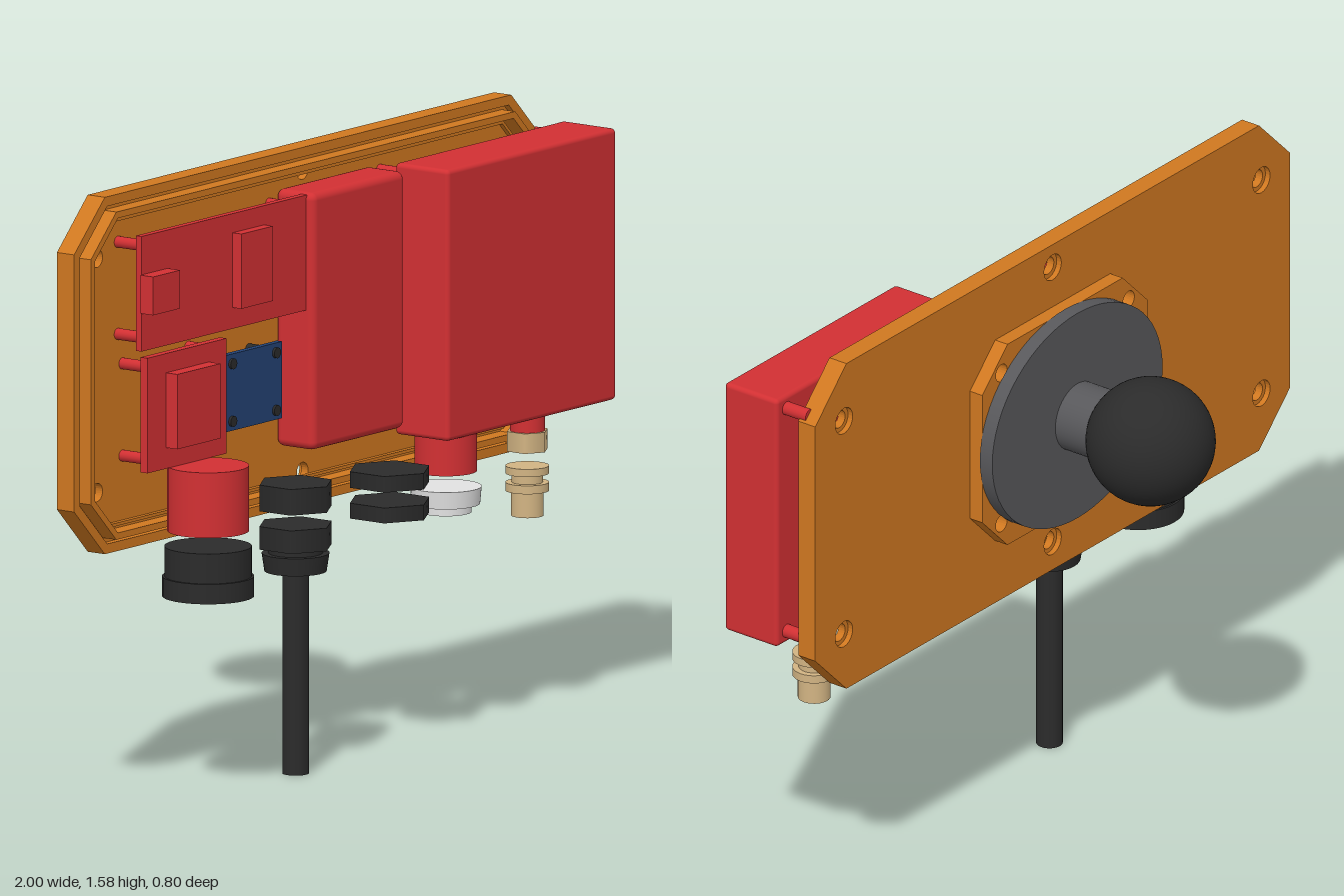
import * as THREE from 'three';
import { RoundedBoxGeometry } from 'three/addons/geometries/RoundedBoxGeometry.js';

const mat = (name, color) => {
  const m = new THREE.MeshStandardMaterial({ color });
  m.name = name;
  return m;
};

export function createModel() {
  const orange = mat('orange', 0xd07820), red = mat('red', 0xd23033), black = mat('black', 0x2b2b2b);
  const grey = mat('grey', 0x58585b), blue = mat('blue', 0x234274), tan = mat('tan', 0xd2b483);
  const white = mat('white', 0xe2e2e2);
  const root = new THREE.Group();
  const CX = -0.008, CY = 1.115, CZ = 0.282; // plate centre, connector axis depth

  const add = (name, geo, material, x = 0, y = 0, z = 0) => {
    const m = new THREE.Mesh(geo, material);
    m.name = name;
    m.position.set(x, y, z);
    root.add(m);
    return m;
  };
  const box = (name, material, x0, x1, y0, y1, z0, z1, r = 0) => add(name,
    r ? new RoundedBoxGeometry(x1 - x0, y1 - y0, z1 - z0, 3, r) : new THREE.BoxGeometry(x1 - x0, y1 - y0, z1 - z0),
    material, (x0 + x1) / 2, (y0 + y1) / 2, (z0 + z1) / 2);

  // rectangle with cut corners, moved inwards by d
  const octagon = (w, h, c, d = 0) => {
    const a = w - d, b = h - d, k = c - d * 0.586;
    return [[a, b - k], [a - k, b], [k - a, b], [-a, b - k], [-a, k - b], [k - a, -b], [a - k, -b], [a, k - b]]
      .map(([x, y]) => new THREE.Vector2(x, y));
  };
  const slab = (name, outline, z0, z1, holes = [], r = 0, inner = null) => {
    const s = new THREE.Shape(outline);
    for (const [x, y] of holes) s.holes.push(new THREE.Path().absarc(x, y, r, 0, Math.PI * 2, true));
    if (inner) s.holes.push(new THREE.Path(inner));
    add(name, new THREE.ExtrudeGeometry(s, { depth: z1 - z0, bevelEnabled: false, curveSegments: 12 }), orange, CX, CY, z0);
  };

  // back plate: counterbored back, floor, rim and sealing ridge
  const plate = d => octagon(0.99, 0.465, 0.13, d);
  const screws = [[-0.87, 0.305], [-0.87, -0.305], [0.87, 0.305], [0.87, -0.305], [0, -0.385], [0, 0.4]];
  slab('plateBack', plate(0), 0.085, 0.1, screws, 0.036);
  slab('plateFloor', plate(0), 0.1, 0.122, screws, 0.024);
  slab('plateRim', plate(0), 0.122, 0.14, [], 0, plate(0.025));
  slab('sealRidge', plate(0.038), 0.122, 0.165, [], 0, plate(0.055));
  slab('innerRidge', plate(0.064), 0.122, 0.135, [], 0, plate(0.072));

  // mounting pad with corner screw holes
  const padHoles = [[1, 1], [-1, 1], [1, -1], [-1, -1]].map(([a, b]) => [a * 0.265, b * 0.215]);
  slab('mountPad', octagon(0.345, 0.287, 0.105), 0.045, 0.085, padHoles, 0.024);

  // ball mount
  const disk = add('mountDisk', new THREE.CylinderGeometry(0.355, 0.355, 0.04, 64), grey, CX, CY, 0.025);
  disk.rotation.x = Math.PI / 2;
  disk.scale.z = 0.293 / 0.355;
  const stem = add('mountStem', new THREE.CylinderGeometry(0.092, 0.092, 0.16, 40), grey, CX, CY, -0.07);
  stem.rotation.x = Math.PI / 2;
  add('mountBall', new THREE.SphereGeometry(0.167, 48, 32), black, CX, CY, -0.232);

  // rounded modules
  box('largeModule', red, 0.285, 1, 0.79, 1.497, 0.195, 0.367, 0.012);
  box('middleModule', red, -0.125, 0.267, 0.815, 1.485, 0.122, 0.245, 0.02);

  // circuit boards and chips
  box('upperBoard', red, -0.82, -0.12, 1.18, 1.48, 0.203, 0.222);
  box('upperBoardSocket', red, -0.825, -0.71, 1.28, 1.38, 0.222, 0.262);
  box('upperBoardChip', red, -0.435, -0.302, 1.235, 1.43, 0.222, 0.25);
  box('lowerBoard', red, -0.8, -0.465, 0.86, 1.16, 0.203, 0.225);
  box('lowerBoardChip', red, -0.722, -0.54, 0.915, 1.11, 0.225, 0.262);
  box('blueBoard', blue, -0.445, -0.207, 0.91, 1.11, 0.19, 0.208);

  // standoffs at the corners of each board
  const posts = (name, material, x0, x1, y0, y1, z1, r) => {
    for (const x of [x0, x1]) for (const y of [y0, y1]) {
      const p = add(name, new THREE.CylinderGeometry(r, r, z1 - 0.12, 16), material, x, y, (z1 + 0.12) / 2);
      p.rotation.x = Math.PI / 2;
    }
  };
  posts('largeModulePost', red, 0.32, 0.96, 0.825, 1.462, 0.2, 0.018);
  posts('upperBoardPost', red, -0.79, -0.15, 1.21, 1.45, 0.205, 0.015);
  posts('lowerBoardPost', red, -0.77, -0.492, 0.89, 1.13, 0.205, 0.015);
  posts('blueBoardPost', black, -0.42, -0.235, 0.935, 1.085, 0.215, 0.014);

  // connectors: stacks of [name, material, bottom y, top y, bottom radius, top radius, sides]
  const stack = (x, parts) => {
    for (const [name, material, y0, y1, r0, r1 = r0, sides = 36] of parts) {
      const g = new THREE.CylinderGeometry(r1, r0, y1 - y0, sides);
      add(name, sides === 6 ? g.toNonIndexed() : g, material, x, (y0 + y1) / 2, CZ);
    }
  };
  stack(-0.618, [
    ['socketBody', red, 0.69, 0.86, 0.105],
    ['socketCollar', black, 0.572, 0.65, 0.112],
    ['socketCap', black, 0.52, 0.572, 0.118],
  ]);
  stack(-0.248, [
    ['glandNut', black, 0.69, 0.758, 0.1, 0.1, 6],
    ['glandHex', black, 0.59, 0.65, 0.1, 0.1, 6],
    ['glandNeck', black, 0.575, 0.59, 0.07],
    ['glandCap', black, 0.528, 0.575, 0.08, 0.087],
    ['cable', black, 0, 0.53, 0.034],
  ]);
  stack(0.15, [
    ['plugNut', black, 0.69, 0.732, 0.11, 0.11, 6],
    ['plugHead', black, 0.61, 0.65, 0.11, 0.11, 6],
  ]);
  stack(0.388, [
    ['buttonBody', red, 0.69, 0.795, 0.08],
    ['buttonFlange', white, 0.605, 0.65, 0.088, 0.092],
    ['buttonFace', white, 0.583, 0.605, 0.066],
  ]);
  stack(0.733, [
    ['antennaBase', red, 0.74, 0.795, 0.045],
    ['antennaNut', tan, 0.69, 0.742, 0.056, 0.056, 6],
    ['antennaCollar', tan, 0.63, 0.65, 0.056],
    ['antennaNeck', tan, 0.605, 0.63, 0.04],
    ['antennaRing', tan, 0.585, 0.607, 0.056],
    ['antennaTip', tan, 0.52, 0.585, 0.042],
  ]);
  return root;
}
